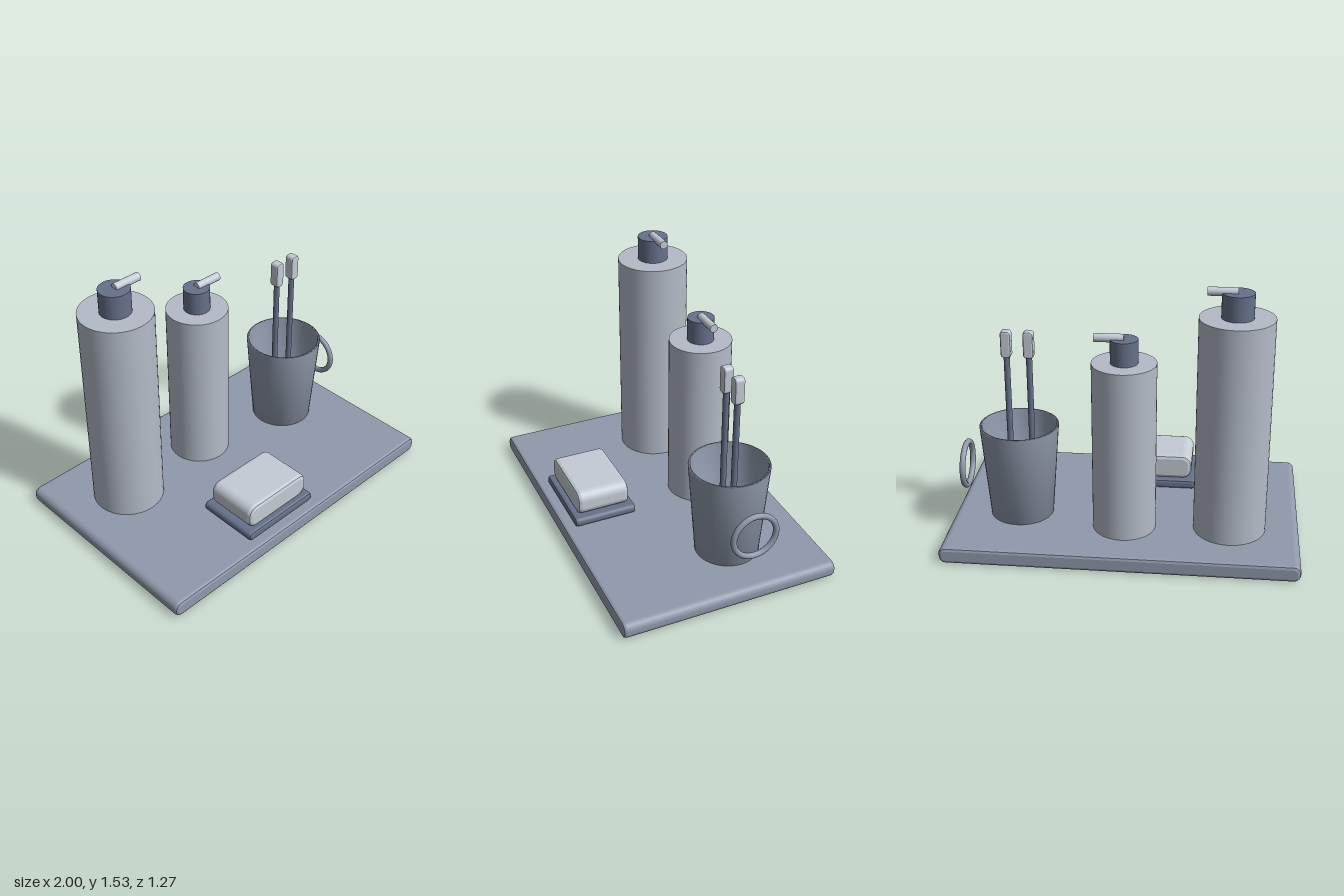
import * as THREE from 'three';

const tones = { tray: 0x8f9aab, dark: 0x66728a, light: 0xb4bcc8, pale: 0xc4ccd6 };
const material = (tone) => new THREE.MeshStandardMaterial({ color: tones[tone], side: THREE.DoubleSide });

function add(parent, name, geometry, tone, x = 0, y = 0, z = 0) {
  const mesh = new THREE.Mesh(geometry, material(tone));
  mesh.name = name;
  mesh.position.set(x, y, z);
  parent.add(mesh);
  return mesh;
}

// Slab with rounded corners seen from the front and bevelled front and back edges
function slab(w, h, d, radius, bevel) {
  const x = w / 2 - bevel, y = h / 2 - bevel, r = Math.max(radius - bevel, 0.004);
  const s = new THREE.Shape();
  s.absarc(x - r, y - r, r, 0, Math.PI / 2);
  s.absarc(-x + r, y - r, r, Math.PI / 2, Math.PI);
  s.absarc(-x + r, -y + r, r, Math.PI, Math.PI * 1.5);
  s.absarc(x - r, -y + r, r, Math.PI * 1.5, Math.PI * 2);
  return new THREE.ExtrudeGeometry(s, {
    depth: d - 2 * bevel, bevelEnabled: true, bevelSize: bevel,
    bevelThickness: bevel, bevelSegments: 2, curveSegments: 4,
  }).center();
}

// Pump bottle: body, collar and a spout pointing to +x
function bottle(name, x, z, radius, top, capRadius, capTop) {
  const g = new THREE.Group();
  g.name = name;
  g.position.set(x, 0, z);
  const base = 0.095;
  add(g, 'bottleBody', new THREE.CylinderGeometry(radius, radius, top - base, 48), 'light', 0, (top + base) / 2);
  add(g, 'pumpCollar', new THREE.CylinderGeometry(capRadius, capRadius, capTop - top, 32), 'dark', 0, (capTop + top) / 2);
  const spout = new THREE.CylinderGeometry(0.024, 0.024, 0.163, 16).rotateZ(Math.PI / 2);
  add(g, 'pumpSpout', spout, 'pale', 0.082, capTop + 0.003);
  return g;
}

export function createModel() {
  const model = new THREE.Group();
  model.name = 'bathroomSet';

  add(model, 'tray', slab(2, 0.095, 1.266, 0.04, 0.018), 'tray', 0, 0.0475, 0);

  model.add(bottle('tallBottle', -0.603, -0.232, 0.206, 1.362, 0.088, 1.5));
  model.add(bottle('shortBottle', -0.003, -0.264, 0.18, 1.096, 0.077, 1.232));

  // Soap on its dish
  add(model, 'soapDish', slab(0.51, 0.054, 0.376, 0.024, 0.016), 'dark', -0.135, 0.122, 0.382);
  add(model, 'soap', slab(0.455, 0.149, 0.312, 0.055, 0.022), 'pale', -0.135, 0.222, 0.383);

  // Tapered hollow cup with a thin rim
  const cup = new THREE.Group();
  cup.name = 'cup';
  cup.position.set(0.61, 0.095, -0.151);
  model.add(cup);
  const profile = [[0, 0], [0.182, 0], [0.226, 0.555], [0.212, 0.555], [0.17, 0.025], [0, 0.025]];
  const wall = new THREE.LatheGeometry(profile.map(([r, y]) => new THREE.Vector2(r, y)), 40);
  add(cup, 'cupWall', wall, 'tray');
  const ring = new THREE.TorusGeometry(0.127, 0.017, 12, 40).rotateY(Math.PI / 2);
  add(cup, 'cupHandle', ring, 'tray', 0.315, 0.29, 0);

  // Pair of toothbrushes
  for (const side of [-1, 1]) {
    const brush = new THREE.Group();
    brush.name = side < 0 ? 'rightToothbrush' : 'leftToothbrush';
    brush.position.set(0.601 + side * 0.063, 0, -0.153);
    add(brush, 'brushHandle', new THREE.CylinderGeometry(0.0175, 0.0175, 0.95, 12), 'dark', 0, 0.6);
    add(brush, 'brushHead', slab(0.058, 0.156, 0.058, 0.02, 0.01), 'pale', 0, 1.139);
    model.add(brush);
  }
  return model;
}
